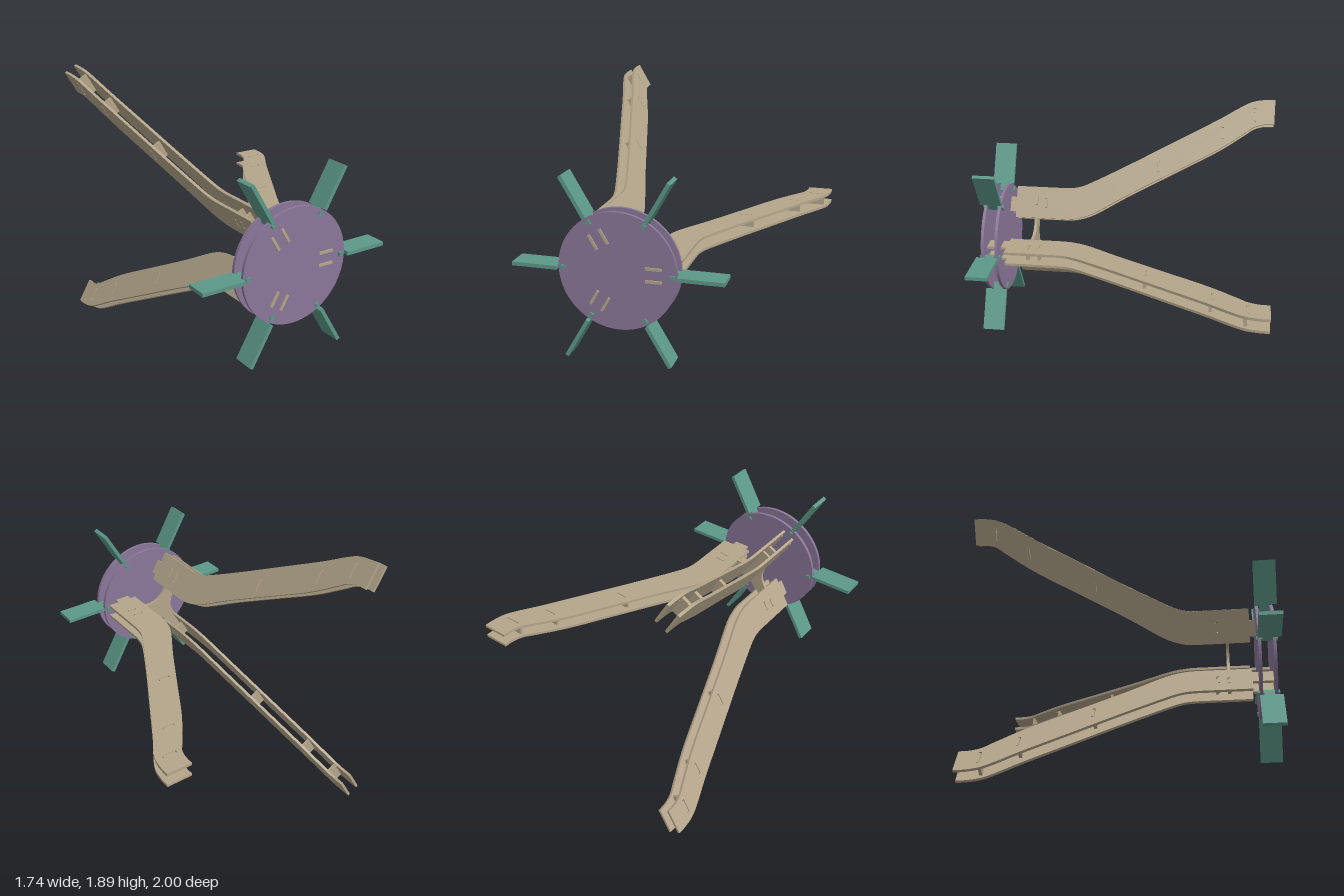
import * as THREE from 'three';

const V = (x, y) => new THREE.Vector2(x, y);
const legMat = new THREE.MeshStandardMaterial({ color: 0xb5a68b });
const discMat = new THREE.MeshStandardMaterial({ color: 0x8b7799 });
const finMat = new THREE.MeshStandardMaterial({ color: 0x5c9888 });

// Flat sheet drawn as (radius, z), thickness along the tangent (y)
function radialSheet(shape, thickness) {
  const g = new THREE.ExtrudeGeometry(shape, { depth: thickness, bevelEnabled: false, curveSegments: 6 });
  g.translate(0, 0, -thickness / 2);
  return g.rotateX(Math.PI / 2);
}

function add(parent, name, geometry, material, x = 0, y = 0, z = 0) {
  const mesh = new THREE.Mesh(geometry, material);
  mesh.name = name;
  mesh.position.set(x, y, z);
  parent.add(mesh);
  return mesh;
}

// Crosspieces between the two plates of a leg: z, inner and outer radius
const RUNGS = [
  [0.58, 0.2, 0.3],
  [-0.19, 0.49, 0.61],
  [-0.63, 0.75, 0.87],
  [-0.85, 0.88, 1.02],
];

// Thin U-shaped slot in a plate where a crosspiece is keyed in
function keySlot(r0, r1, z, tick) {
  const w = 0.006, s = Math.sign(tick);
  return new THREE.Path([
    V(r0, z), V(r1, z), V(r1, z + tick), V(r1 - w, z + tick),
    V(r1 - w, z + s * w), V(r0 + w, z + s * w), V(r0 + w, z + tick), V(r0, z + tick),
  ]);
}

// S-bent leg plate with a narrow tab that passes through the discs
function legPlateShape() {
  const s = new THREE.Shape();
  s.moveTo(0.18, 0.975);
  s.lineTo(0.18, 0.81);
  s.lineTo(0.14, 0.81);
  s.lineTo(0.14, 0.44);
  s.splineThru([V(0.15, 0.36), V(0.195, 0.24), V(0.34, 0), V(0.51, -0.3),
    V(0.68, -0.6), V(0.81, -0.79), V(0.86, -0.86), V(0.882, -0.93), V(0.885, -1)]);
  s.lineTo(1.06, -1);
  s.splineThru([V(1.058, -0.93), V(1.04, -0.84), V(0.99, -0.745), V(0.9, -0.6),
    V(0.73, -0.3), V(0.56, 0), V(0.42, 0.26), V(0.377, 0.36), V(0.365, 0.44)]);
  s.lineTo(0.365, 0.81);
  s.lineTo(0.285, 0.81);
  s.lineTo(0.285, 0.975);
  s.closePath();
  for (const [z, r0, r1] of RUNGS) {
    const m = (r0 + r1) / 2, h = (r1 - r0) * 0.35;
    s.holes.push(keySlot(m - h, m + h, z, z > 0 ? 0.02 : -0.02));
  }
  s.holes.push(keySlot(0.23, 0.295, 0.65, 0.02));
  return s;
}

// Paddle with a notched neck and a foot hooked through both discs
function finShape() {
  return new THREE.Shape([
    V(0.385, 0.85), V(0.68, 0.85), V(0.68, 1), V(0.385, 1),
    V(0.385, 0.945), V(0.365, 0.945), V(0.365, 0.98), V(0.335, 0.98),
    V(0.335, 0.84), V(0.365, 0.84), V(0.365, 0.88), V(0.385, 0.88),
  ]);
}

// Three-armed brace with concave edges between the arms
function braceShape() {
  const s = new THREE.Shape();
  const at = (a, r, t) => [r * Math.cos(a) - t * Math.sin(a), r * Math.sin(a) + t * Math.cos(a)];
  const step = Math.PI * 2 / 3;
  for (let i = 0; i < 3; i++) {
    const a = i * step;
    if (i === 0) s.moveTo(...at(a, 0.14, -0.05));
    s.lineTo(...at(a, 0.14, -0.033));
    s.lineTo(...at(a, 0.3, -0.033));
    s.lineTo(...at(a, 0.3, 0.033));
    s.lineTo(...at(a, 0.14, 0.033));
    s.lineTo(...at(a, 0.14, 0.05));
    s.quadraticCurveTo(...at(a + step / 2, 0.04, 0), ...at(a + step, 0.14, -0.05));
  }
  return s;
}

export function createModel() {
  const model = new THREE.Group();
  model.name = 'model';
  const wheel = new THREE.Group();
  wheel.name = 'wheelAndLegs';
  wheel.position.set(-0.19, 0.947, 0);
  model.add(wheel);

  // Pair of round discs
  const disc = new THREE.CylinderGeometry(0.382, 0.382, 0.02, 72).rotateX(Math.PI / 2);
  add(wheel, 'frontDisc', disc, discMat, 0, 0, 0.957);
  add(wheel, 'backDisc', disc, discMat, 0, 0, 0.861);

  // Six paddles around the rim
  const finGeo = radialSheet(finShape(), 0.025);
  for (let i = 0; i < 6; i++) {
    add(wheel, 'paddle', finGeo, finMat).rotation.z = i * Math.PI / 3;
  }

  // Three legs, each two plates joined by crosspieces
  const plateGeo = radialSheet(legPlateShape(), 0.018);
  for (let i = 0; i < 3; i++) {
    const leg = new THREE.Group();
    leg.name = 'leg';
    leg.rotation.z = i * Math.PI * 2 / 3;
    for (const side of [-1, 1]) add(leg, 'legPlate', plateGeo, legMat, 0, side * 0.041, 0);
    for (const [z, r0, r1] of RUNGS) {
      add(leg, 'crosspiece', new THREE.BoxGeometry(r1 - r0, 0.066, 0.02), legMat, (r0 + r1) / 2, 0, z);
    }
    wheel.add(leg);
  }

  // Brace tying the legs together behind the discs
  const brace = new THREE.ExtrudeGeometry(braceShape(), { depth: 0.02, bevelEnabled: false, curveSegments: 16 });
  add(wheel, 'centreBrace', brace, legMat, 0, 0, 0.65);

  return model;
}
